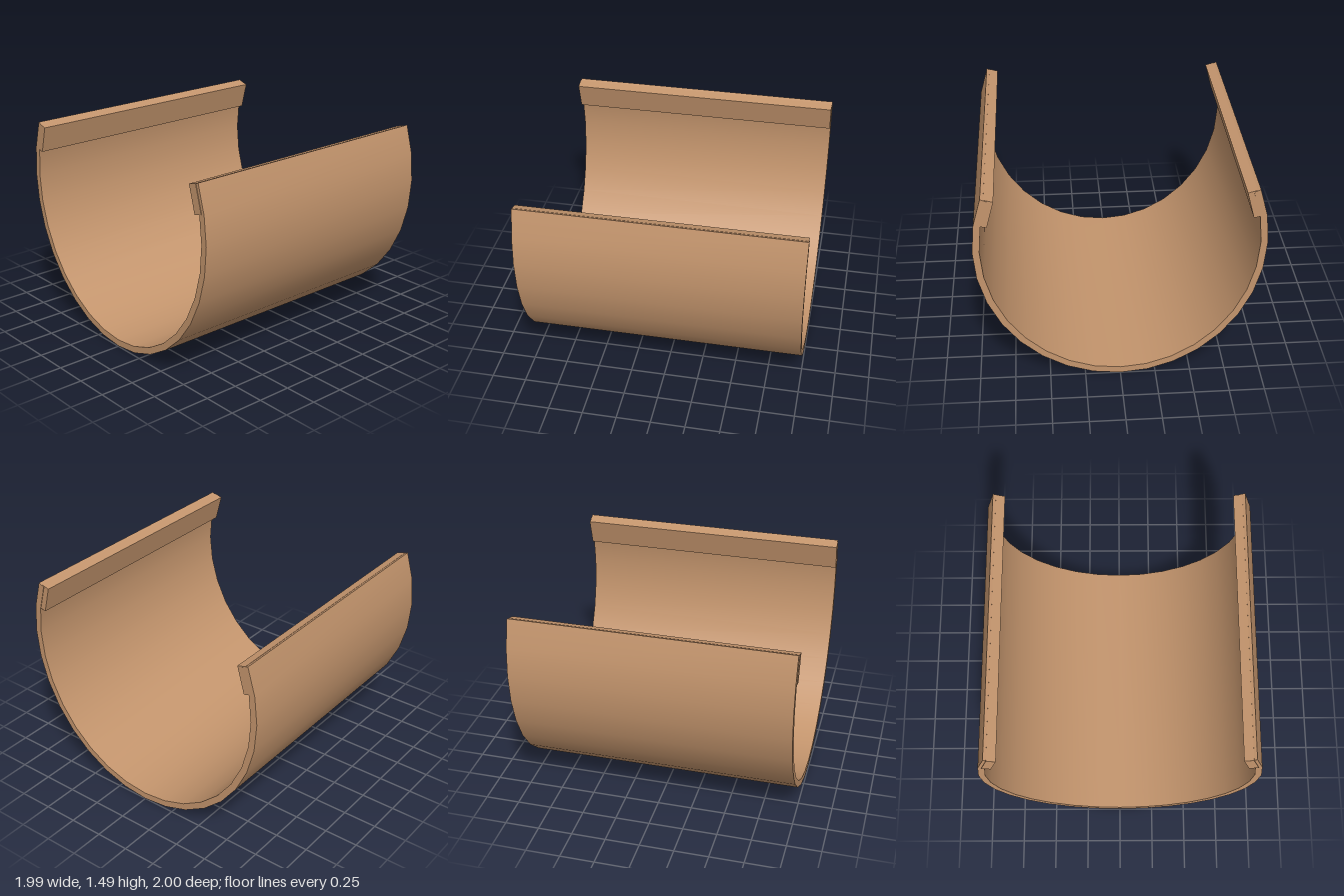
import * as THREE from 'three';
import { toCreasedNormals } from 'three/addons/utils/BufferGeometryUtils.js';

const CENTER_Y = 1.08;
const STEP = Math.PI / 16; // 32-sided ellipse

// Extrude an outline along z, smooth around the curve and sharp at the rims
function extrude(points, zBack, zFront, material, name) {
  const geometry = new THREE.ExtrudeGeometry(new THREE.Shape(points), {
    depth: zFront - zBack, bevelEnabled: false,
  });
  geometry.translate(0, 0, zBack);
  const mesh = new THREE.Mesh(toCreasedNormals(geometry, 0.4), material);
  mesh.name = name;
  return mesh;
}

// Open arc running from the right rim, under the bottom, to the left rim
function arc(rx, ry) {
  const points = [];
  for (let i = -10; i <= 10; i++) {
    points.push(new THREE.Vector2(rx * Math.sin(i * STEP), CENTER_Y - ry * Math.cos(i * STEP)));
  }
  return points;
}

export function createModel() {
  const group = new THREE.Group();
  group.name = 'openTrough';
  const clay = new THREE.MeshStandardMaterial({ color: 0xc4956d });
  clay.name = 'warm tan';

  // Thin curved shell
  const outline = [...arc(0.993, 1.08), ...arc(0.945, 1.03).reverse()];
  group.add(extrude(outline, -1, 0.996, clay, 'curvedShell'));

  // Thick lip inside each upper rim
  for (const side of [-1, 1]) {
    const lip = [[0.832, 1.468], [0.885, 1.272], [0.95, 1.289], [0.896, 1.486]]
      .map(([x, y]) => new THREE.Vector2(side * x, y));
    group.add(extrude(lip, -0.996, 1, clay, side > 0 ? 'leftLip' : 'rightLip'));
  }
  return group;
}
